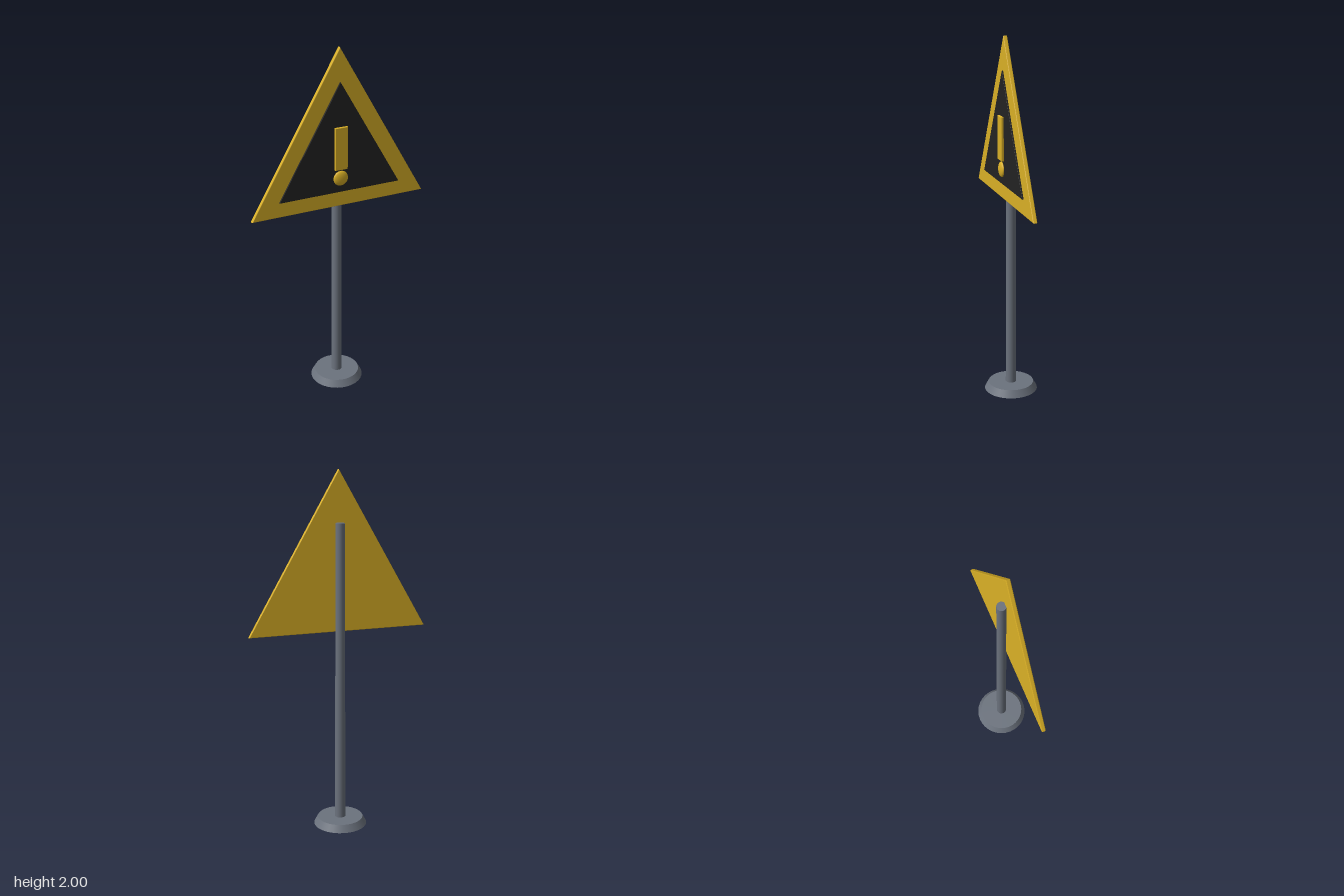
import * as THREE from 'three';

const yellow = new THREE.MeshStandardMaterial({ name: 'signal yellow', color: 0xdab026 });
const black = new THREE.MeshStandardMaterial({ name: 'panel black', color: 0x232323 });
const grey = new THREE.MeshStandardMaterial({ name: 'steel grey', color: 0x6b727d });

// Flat plate with softened edges, spanning z0 to z1
function plate(points, z0, z1, bevel) {
  const shape = new THREE.Shape(points.map(([x, y]) => new THREE.Vector2(x, y)));
  const geometry = new THREE.ExtrudeGeometry(shape, {
    depth: z1 - z0 - 2 * bevel,
    bevelThickness: bevel,
    bevelSize: bevel,
    bevelOffset: -bevel, // keeps the outline at its given size
    bevelSegments: 3,
  });
  return geometry.translate(0, 0, z0 + bevel);
}

const triangle = (halfWidth, bottom, top) => [[-halfWidth, bottom], [halfWidth, bottom], [0, top]];

export function createModel() {
  const group = new THREE.Group();
  group.name = 'warningSign';

  const add = (name, geometry, material, x = 0, y = 0, z = 0) => {
    const mesh = new THREE.Mesh(geometry, material);
    mesh.name = name;
    mesh.position.set(x, y, z);
    group.add(mesh);
    return mesh;
  };

  // Stand: bevelled foot and slightly tapered pole
  add('base', new THREE.CylinderGeometry(0.128, 0.15, 0.04, 32), grey, 0, 0.02, 0);
  add('pole', new THREE.CylinderGeometry(0.025, 0.03, 1.7, 24), grey, 0, 0.87, 0);

  // Triangular board and its inset panel
  add('board', plate(triangle(0.503, 1.125, 2), 0.02, 0.043, 0.005), yellow);
  add('panel', plate(triangle(0.35, 1.21, 1.82), 0.04, 0.051, 0.002), black);

  // Exclamation mark
  const bar = [[-0.036, 1.342], [0.036, 1.342], [0.036, 1.58], [-0.036, 1.58]];
  add('markBar', plate(bar, 0.05, 0.065, 0.003), yellow);
  const dot = add('markDot', new THREE.SphereGeometry(0.042, 24, 16), yellow, 0, 1.291, 0.053);
  dot.scale.z = 0.35;

  return group;
}
